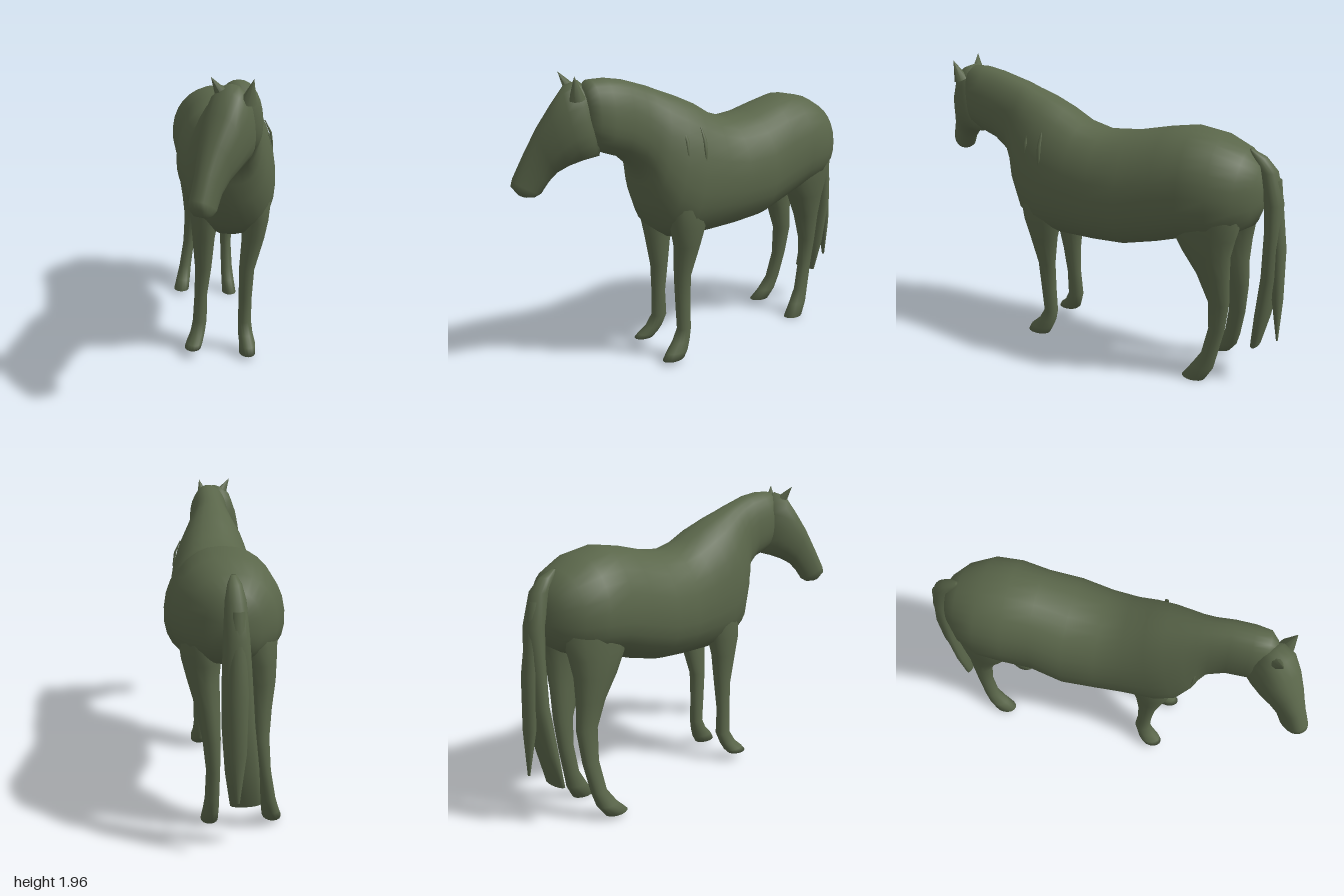
import * as THREE from 'three';

const V3 = (x, y, z) => new THREE.Vector3(x, y, z);
const FWD = V3(0.8, 0, 0.6);   // direction the body points
const LEFT = V3(0.6, 0, -0.8); // the animal's own left
const coat = new THREE.MeshStandardMaterial({ color: 0x5a664a });
coat.name = 'mossGreen';

// Point from distance along the body, sideways offset and height
const at = (s, t, y) => V3(0, y, 0).addScaledVector(FWD, s).addScaledVector(LEFT, t);

// Smooth closed skin through rings {c: centre, v: side axis, u: up axis}
function loft(name, rings, { sides = 18, egg = 0, power = 1 } = {}) {
  const pos = [], idx = [];
  const bend = (a) => Math.sign(a) * Math.abs(a) ** power;
  for (const { c, v, u } of rings) {
    for (let j = 0; j < sides; j++) {
      const a = (j / sides) * Math.PI * 2;
      const p = c.clone()
        .addScaledVector(v, bend(Math.cos(a)) * (1 - egg * Math.sin(a)))
        .addScaledVector(u, bend(Math.sin(a)));
      pos.push(p.x, p.y, p.z);
    }
  }
  const n = rings.length;
  for (let i = 0; i < n - 1; i++) {
    for (let j = 0; j < sides; j++) {
      const k = (j + 1) % sides;
      const a = i * sides + j, b = i * sides + k;
      idx.push(a, b, a + sides, b, b + sides, a + sides);
    }
  }
  // End caps
  const first = n * sides, last = first + 1;
  pos.push(...rings[0].c.toArray(), ...rings[n - 1].c.toArray());
  for (let j = 0; j < sides; j++) {
    const k = (j + 1) % sides;
    idx.push(first, k, j, last, (n - 1) * sides + j, (n - 1) * sides + k);
  }
  const g = new THREE.BufferGeometry();
  g.setAttribute('position', new THREE.Float32BufferAttribute(pos, 3));
  g.setIndex(idx);
  g.computeVertexNormals();
  const mesh = new THREE.Mesh(g, coat);
  mesh.name = name;
  return mesh;
}

// Ring spanning a top and a bottom point
const span = (top, bottom, side, w) => ({
  c: top.clone().add(bottom).multiplyScalar(0.5),
  u: top.clone().sub(bottom).multiplyScalar(0.5),
  v: side.clone().multiplyScalar(w),
});

// Limb running downwards: rows of [y, x, z, half length, half width]
const limb = (name, rows) => loft(name, rows.map(([y, x, z, l, w]) => ({
  c: V3(x, y, z),
  v: LEFT.clone().multiplyScalar(w),
  u: FWD.clone().multiplyScalar(l),
})), { sides: 16 });

export function createModel() {
  const horse = new THREE.Group();
  horse.name = 'horse';

  // Body and neck: [top s, top y, bottom s, bottom y, half width, sideways offset]
  const body = [
    [-1.16, 1.42, -1.16, 1.26, 0.06, 0.13],
    [-1.13, 1.54, -1.12, 1.15, 0.165, 0.13],
    [-1.04, 1.62, -1.02, 1.09, 0.265, 0.13],
    [-0.88, 1.69, -0.89, 1.05, 0.33, 0.135],
    [-0.70, 1.72, -0.71, 1.01, 0.335, 0.14],
    [-0.52, 1.69, -0.52, 0.945, 0.32, 0.147],
    [-0.30, 1.635, -0.30, 0.89, 0.345, 0.147],
    [-0.09, 1.615, -0.07, 0.87, 0.32, 0.145],
    [0.07, 1.66, 0.15, 0.86, 0.30, 0.14],
    [0.20, 1.735, 0.38, 0.86, 0.29, 0.13],
    [0.32, 1.785, 0.51, 0.95, 0.265, 0.12],
    [0.44, 1.825, 0.585, 1.12, 0.215, 0.115],
    [0.52, 1.855, 0.61, 1.25, 0.18, 0.11],
    [0.61, 1.88, 0.64, 1.35, 0.155, 0.11],
    [0.72, 1.91, 0.75, 1.44, 0.145, 0.11],
    [0.85, 1.928, 0.87, 1.48, 0.145, 0.10],
    [0.95, 1.925, 0.95, 1.52, 0.13, 0.095],
    [1.00, 1.88, 0.99, 1.60, 0.08, 0.09],
  ];
  horse.add(loft('bodyAndNeck', body.map(([s, y, s2, y2, w, t]) =>
    span(at(s, t, y), at(s2, t, y2), LEFT, w)), { sides: 28, egg: 0.1, power: 0.9 }));

  // Head, turned to the right: [top z, top y, bottom z, bottom y, half width]
  const headLeft = V3(0.966, 0, -0.259);
  const onHead = (z, y) => V3(0.80 + 0.33 * (z - 0.5), y, z);
  const head = [
    [0.48, 1.84, 0.42, 1.60, 0.06],
    [0.56, 1.92, 0.45, 1.465, 0.125],
    [0.64, 1.89, 0.54, 1.44, 0.14],
    [0.72, 1.77, 0.62, 1.41, 0.13],
    [0.80, 1.64, 0.69, 1.37, 0.102],
    [0.88, 1.48, 0.74, 1.315, 0.076],
    [0.945, 1.34, 0.785, 1.245, 0.072],
    [0.955, 1.30, 0.82, 1.225, 0.064],
    [0.92, 1.25, 0.86, 1.225, 0.04],
  ];
  horse.add(loft('head', head.map(([z, y, z2, y2, w]) =>
    span(onHead(z, y), onHead(z2, y2), headLeft, w)), { sides: 20, power: 0.86 }));

  // Ears
  const ears = [
    ['rightEar', V3(0.80, 1.84, 0.595), V3(0.79, 1.965, 0.69)],
    ['leftEar', V3(0.92, 1.82, 0.53), V3(0.965, 1.955, 0.53)],
  ];
  for (const [name, base, tip] of ears) {
    const dir = tip.clone().sub(base);
    const ear = new THREE.Mesh(new THREE.ConeGeometry(0.05, dir.length(), 8), coat);
    ear.name = name;
    ear.position.copy(base).addScaledVector(dir, 0.5);
    ear.quaternion.setFromUnitVectors(V3(0, 1, 0), dir.clone().normalize());
    horse.add(ear);
  }

  // Front legs, widening into the shoulders
  horse.add(limb('frontRightLeg', [
    [1.45, 0.23, 0.17, 0.12, 0.10], [1.25, 0.22, 0.185, 0.16, 0.12],
    [1.08, 0.215, 0.20, 0.155, 0.11], [0.95, 0.215, 0.22, 0.135, 0.092],
    [0.82, 0.21, 0.225, 0.10, 0.075], [0.60, 0.20, 0.22, 0.065, 0.055],
    [0.40, 0.185, 0.23, 0.052, 0.043], [0.22, 0.175, 0.23, 0.057, 0.048],
    [0.14, 0.19, 0.265, 0.065, 0.05], [0.09, 0.205, 0.305, 0.08, 0.055],
    [0.06, 0.215, 0.33, 0.075, 0.055],
  ]));
  horse.add(limb('frontLeftLeg', [
    [1.45, 0.40, -0.02, 0.12, 0.09], [1.25, 0.42, -0.035, 0.16, 0.10],
    [1.08, 0.435, -0.035, 0.155, 0.10], [0.95, 0.435, -0.03, 0.135, 0.09],
    [0.82, 0.43, -0.02, 0.10, 0.075], [0.60, 0.41, 0.015, 0.062, 0.052],
    [0.40, 0.40, 0.015, 0.055, 0.045], [0.22, 0.39, 0.01, 0.05, 0.045],
    [0.14, 0.415, 0.025, 0.065, 0.05], [0.08, 0.455, 0.045, 0.085, 0.055],
    [0.03, 0.475, 0.065, 0.085, 0.055],
  ]));

  // Hind legs, widening into the haunches
  horse.add(limb('hindRightLeg', [
    [1.50, -0.69, -0.54, 0.16, 0.12], [1.35, -0.69, -0.52, 0.22, 0.155],
    [1.20, -0.70, -0.505, 0.235, 0.14], [1.08, -0.715, -0.495, 0.205, 0.12],
    [0.96, -0.745, -0.50, 0.16, 0.098], [0.80, -0.78, -0.53, 0.105, 0.075],
    [0.62, -0.81, -0.555, 0.075, 0.058], [0.40, -0.825, -0.535, 0.058, 0.045],
    [0.20, -0.82, -0.49, 0.055, 0.047], [0.10, -0.795, -0.445, 0.075, 0.055],
    [0.03, -0.76, -0.395, 0.085, 0.06],
  ]));
  horse.add(limb('hindLeftLeg', [
    [1.50, -0.53, -0.73, 0.16, 0.12], [1.35, -0.50, -0.73, 0.22, 0.15],
    [1.20, -0.495, -0.735, 0.235, 0.135], [1.08, -0.495, -0.735, 0.205, 0.12],
    [0.96, -0.515, -0.74, 0.16, 0.098], [0.80, -0.565, -0.75, 0.11, 0.075],
    [0.60, -0.61, -0.76, 0.07, 0.055], [0.40, -0.61, -0.75, 0.055, 0.043],
    [0.20, -0.575, -0.73, 0.055, 0.045], [0.10, -0.54, -0.71, 0.075, 0.05],
    [0.005, -0.49, -0.68, 0.08, 0.055],
  ]));

  // Tail: a full main lock and a thinner outer one
  horse.add(limb('tail', [
    [1.62, -0.77, -0.73, 0.01, 0.015], [1.58, -0.81, -0.76, 0.05, 0.04],
    [1.50, -0.86, -0.80, 0.06, 0.06], [1.30, -0.90, -0.83, 0.06, 0.075],
    [1.10, -0.91, -0.835, 0.055, 0.085], [0.80, -0.915, -0.83, 0.055, 0.095],
    [0.50, -0.905, -0.79, 0.05, 0.10], [0.27, -0.89, -0.75, 0.03, 0.09],
  ]));
  horse.add(limb('outerTailLock', [
    [1.45, -0.90, -0.82, 0.04, 0.04], [1.00, -0.945, -0.86, 0.045, 0.06],
    [0.65, -0.96, -0.875, 0.035, 0.05], [0.36, -0.975, -0.89, 0.006, 0.01],
  ]));

  // Thin mane locks at the neck base: [name, s, sideways offset]
  const locks = [
    ['maneLockLeft1', 0.28, 0.40], ['maneLockLeft2', 0.40, 0.37],
    ['maneLockLeft3', 0.51, 0.305], ['maneLockRight', 0.56, -0.075],
  ];
  for (const [name, s, t] of locks) {
    const out = Math.sign(t);
    horse.add(limb(name, [
      [1.60, -0.05, 0.006], [1.52, -0.012, 0.014], [1.44, 0, 0.012], [1.36, 0.005, 0.003],
    ].map(([y, d, r]) => {
      const c = at(s, t + out * d, y);
      return [y, c.x, c.z, r, r * 0.6];
    })));
  }
  return horse;
}
